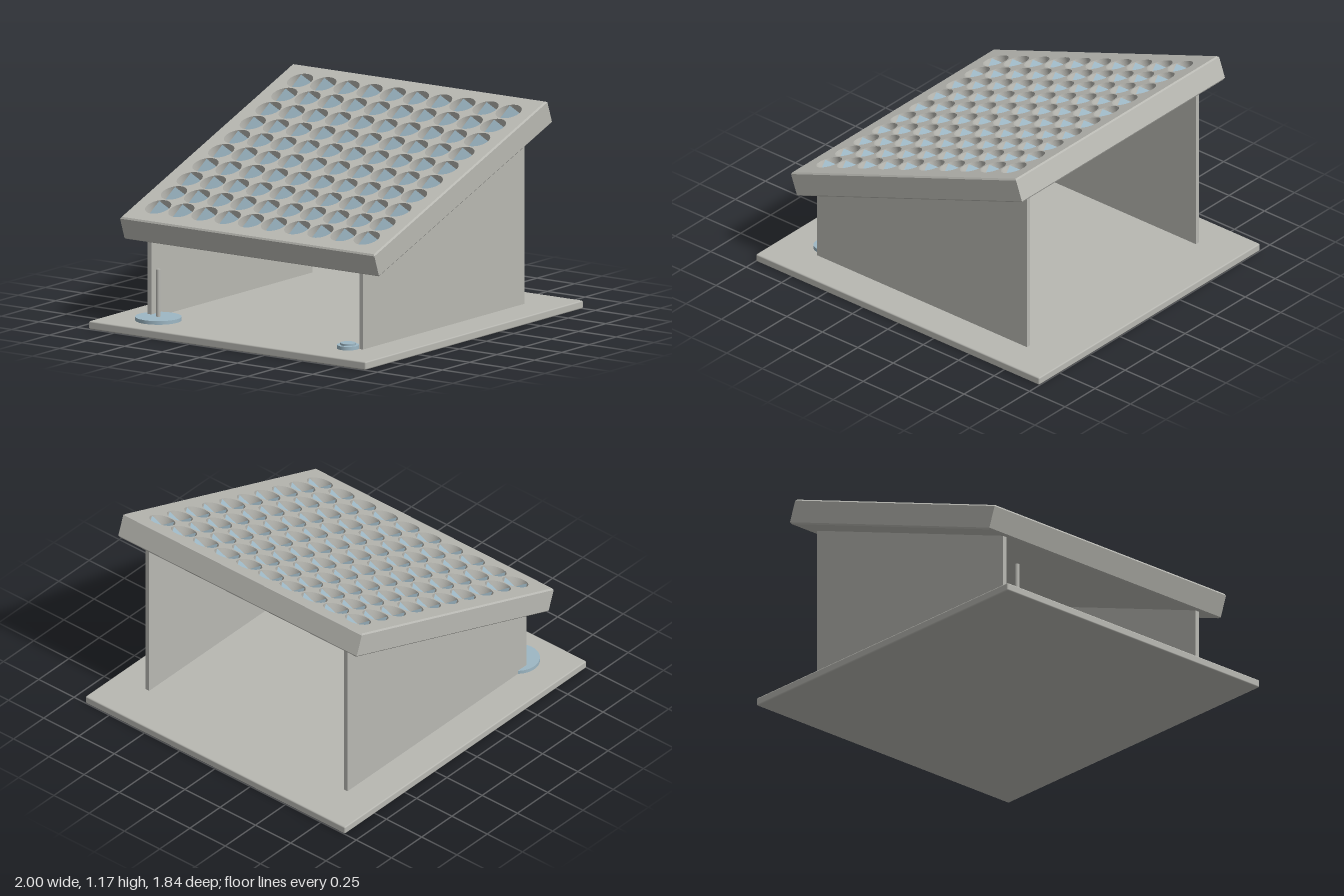
import * as THREE from 'three';
import { mergeGeometries } from 'three/addons/utils/BufferGeometryUtils.js';
import { RoundedBoxGeometry } from 'three/addons/geometries/RoundedBoxGeometry.js';

const TILT = THREE.MathUtils.degToRad(20);
const TRAY = { half: 0.845, thick: 0.1375, y: 0.8175 };
const HOLE_R = 0.071, PITCH = 0.154, COUNT = 10, BEVEL = 0.008;

function rectShape(h) {
  return new THREE.Shape([[-h, -h], [h, -h], [h, h], [-h, h]].map(([x, y]) => new THREE.Vector2(x, y)));
}

// Centres of the sockets on the tray
function gridCells() {
  const cells = [];
  for (let i = 0; i < COUNT; i++)
    for (let j = 0; j < COUNT; j++)
      cells.push([(i - (COUNT - 1) / 2) * PITCH, (j - (COUNT - 1) / 2) * PITCH]);
  return cells;
}

// Three square faces meeting at a deep corner, opening along +y; mouth at y = 0
function cornerGeometry(r) {
  const height = r * Math.SQRT2;
  const at = (deg, y) => {
    const a = THREE.MathUtils.degToRad(deg);
    return [r * Math.cos(a), y - height, -r * Math.sin(a)];
  };
  const pos = [];
  for (const deg of [30, 150, 270]) {
    const apex = [0, -height, 0];
    const e1 = at(deg - 60, height / 2), outer = at(deg, height), e2 = at(deg + 60, height / 2);
    pos.push(...apex, ...e1, ...outer, ...apex, ...outer, ...e2);
  }
  const g = new THREE.BufferGeometry();
  g.setAttribute('position', new THREE.Float32BufferAttribute(pos, 3));
  g.computeVertexNormals();
  return g;
}

export function createModel() {
  const model = new THREE.Group();
  model.name = 'reflectorArray';
  const metal = new THREE.MeshStandardMaterial({ name: 'grey metal', color: 0xb8b8b2 });
  const glass = new THREE.MeshStandardMaterial({ name: 'pale blue glass', color: 0x9db7c4 });

  const add = (parent, name, geometry, material, x = 0, y = 0, z = 0) => {
    const mesh = new THREE.Mesh(geometry, material);
    mesh.name = name;
    mesh.position.set(x, y, z);
    parent.add(mesh);
    return mesh;
  };

  // Base plate
  add(model, 'basePlate', new RoundedBoxGeometry(2, 0.045, 1.84, 1, BEVEL), metal, 0, 0.0225, 0);

  // Sloping side supports
  const slope = Math.tan(TILT);
  const under = TRAY.y - TRAY.thick / 2 / Math.cos(TILT) + 0.002;
  const side = new THREE.Shape();
  side.moveTo(-0.74, 0.04);
  side.lineTo(0.74, 0.04);
  side.lineTo(0.74, under + 0.74 * slope);
  side.lineTo(-0.74, under - 0.74 * slope);
  const sideGeo = new THREE.ExtrudeGeometry(side, { depth: 0.025, bevelEnabled: false });
  sideGeo.translate(0, 0, -0.0125);
  for (const s of [1, -1]) add(model, s > 0 ? 'frontSupport' : 'backSupport', sideGeo, metal, 0, 0, s * 0.703);

  // Tilted tray
  const tray = new THREE.Group();
  tray.name = 'tray';
  tray.position.y = TRAY.y;
  tray.rotation.z = TILT;
  model.add(tray);
  const top = TRAY.thick / 2;

  // Bevelled rim
  const rim = rectShape(TRAY.half - BEVEL);
  rim.holes.push(rectShape(0.79));
  const rimGeo = new THREE.ExtrudeGeometry(rim, {
    depth: TRAY.thick - 2 * BEVEL, bevelSize: BEVEL, bevelThickness: BEVEL, bevelSegments: 1,
  });
  rimGeo.rotateX(-Math.PI / 2);
  add(tray, 'trayRim', rimGeo, metal, 0, -top + BEVEL, 0);

  // Drilled slab with a closed underside
  const floor = 0.012;
  const slab = rectShape(0.82);
  for (const [x, z] of gridCells())
    slab.holes.push(new THREE.Path().absarc(x, z, HOLE_R + 0.001, 0, Math.PI * 2, true));
  const slabGeo = new THREE.ExtrudeGeometry(slab, {
    depth: TRAY.thick - floor, bevelEnabled: false, curveSegments: 32,
  });
  slabGeo.rotateX(-Math.PI / 2);
  add(tray, 'drilledSlab', slabGeo, metal, 0, -top + floor, 0);
  add(tray, 'trayUnderside', new THREE.BoxGeometry(1.64, floor, 1.64), metal, 0, -top + floor / 2, 0);

  // Corner reflectors in the sockets
  const corner = cornerGeometry(HOLE_R);
  const corners = mergeGeometries(gridCells().map(([x, z]) => corner.clone().translate(x, 0, z)));
  add(tray, 'cornerReflectors', corners, glass, 0, top - 0.003, 0);

  // Sun compass dial and pin
  add(model, 'compassDial', new THREE.CylinderGeometry(0.125, 0.125, 0.022, 48), glass, -0.76, 0.054, -0.63);
  add(model, 'compassPin', new THREE.CylinderGeometry(0.012, 0.012, 0.28, 20), metal, -0.76, 0.185, -0.63);

  // Bubble level
  add(model, 'levelBase', new THREE.CylinderGeometry(0.06, 0.06, 0.022, 40), glass, -0.76, 0.054, 0.63);
  add(model, 'levelCap', new THREE.CylinderGeometry(0.042, 0.042, 0.012, 40), glass, -0.76, 0.07, 0.63);

  return model;
}
